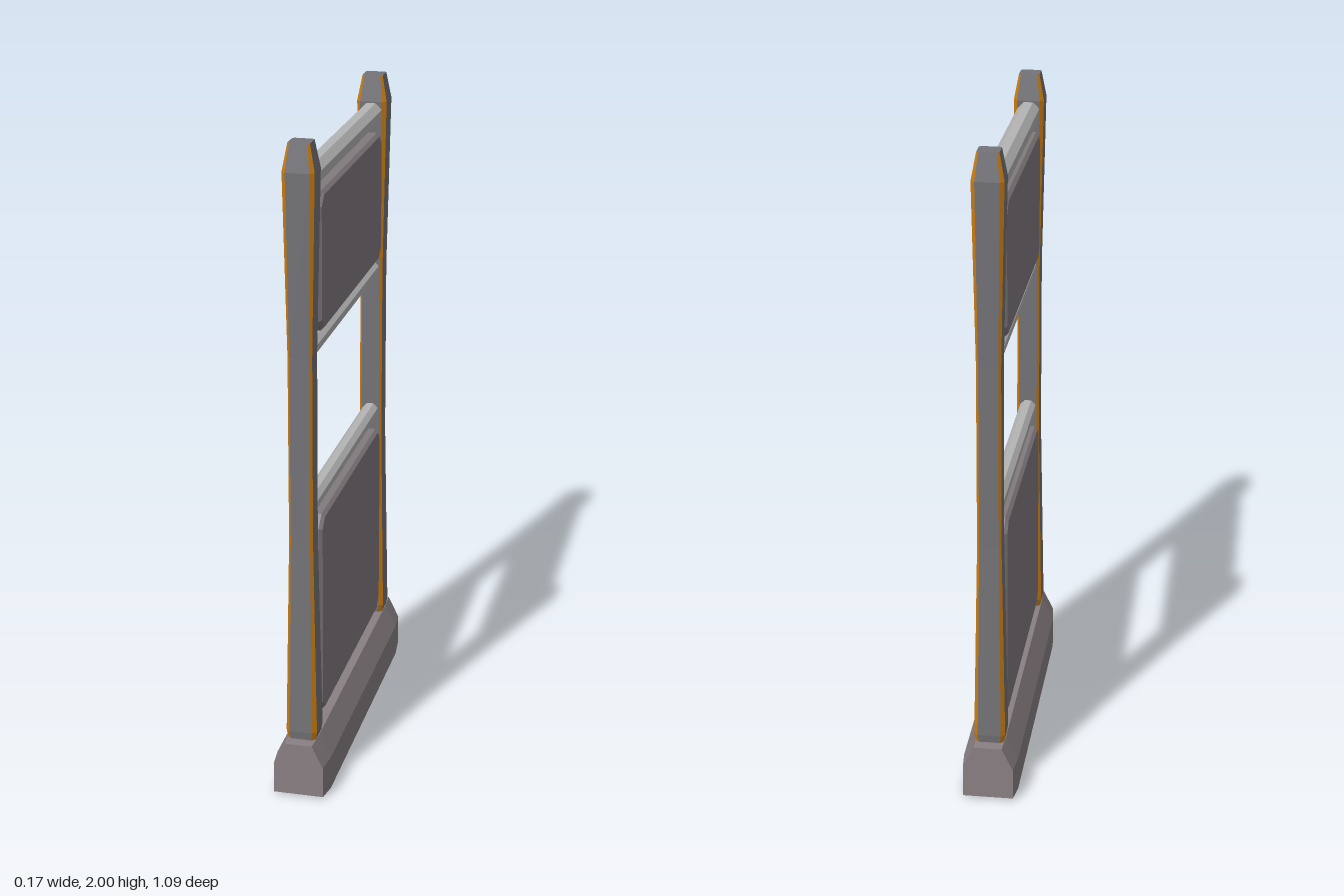
import * as THREE from 'three';

const mat = (color) => new THREE.MeshStandardMaterial({ color, flatShading: true, side: THREE.DoubleSide });
const MAT = {
  base: mat(0x8a8084), post: mat(0x747478), trim: mat(0xcc7c10),
  frame: mat(0x827a7e), panel: mat(0xcccccc), rail: mat(0xb4b4b4),
};

// Skins rings of [x, y, z] points; keep(i) chooses which sides are built.
function loft(rings, caps = true, keep = () => true) {
  const pos = [];
  const tri = (a, b, c) => pos.push(...a, ...b, ...c);
  const n = rings[0].length;
  for (let r = 0; r < rings.length - 1; r++) {
    const a = rings[r], b = rings[r + 1];
    for (let i = 0; i < n; i++) {
      if (!keep(i)) continue;
      const j = (i + 1) % n;
      tri(a[i], a[j], b[j]);
      tri(a[i], b[j], b[i]);
    }
  }
  if (caps) {
    const last = rings[rings.length - 1];
    for (let i = 1; i < n - 1; i++) {
      tri(rings[0][0], rings[0][i + 1], rings[0][i]);
      tri(last[0], last[i], last[i + 1]);
    }
  }
  const g = new THREE.BufferGeometry();
  g.setAttribute('position', new THREE.Float32BufferAttribute(pos, 3));
  g.computeVertexNormals();
  return g;
}

// Rectangle with chamfered corners, counter-clockwise; even sides are the corners.
const octagon = (w, h, c) => [
  [w, h - c], [w - c, h], [c - w, h], [-w, h - c],
  [-w, c - h], [c - w, -h], [w - c, -h], [w, c - h],
];

function add(parent, name, geometry, material) {
  const mesh = new THREE.Mesh(geometry, material);
  mesh.name = name;
  parent.add(mesh);
  return mesh;
}

function makePost(z) {
  const post = new THREE.Group();
  post.name = z > 0 ? 'frontPost' : 'backPost';
  // height, half width, corner chamfer
  const profile = [
    [0.165, 0.042, 0.011], [0.2, 0.047, 0.012], [0.82, 0.036, 0.007],
    [1.38, 0.036, 0.007], [1.92, 0.047, 0.012], [2.0, 0.032, 0.006],
  ];
  const rings = profile.map(([y, h, c]) => octagon(h, h, c).map(([u, v]) => [u, v, y]));
  const sides = loft(rings, true, (i) => i % 2 === 1).rotateX(-Math.PI / 2);
  const corners = loft(rings, false, (i) => i % 2 === 0).rotateX(-Math.PI / 2);
  add(post, 'postBody', sides, MAT.post);
  add(post, 'cornerTrim', corners, MAT.trim);
  post.position.z = z;
  return post;
}

function makePanel(name, y0, y1) {
  const group = new THREE.Group();
  group.name = name;
  const halfH = (y1 - y0) / 2, halfW = 0.4;
  const toShape = (pts, Type) => new Type(pts.map(([x, y]) => new THREE.Vector2(x, y)));

  // Bevelled frame with cut corners
  const shape = toShape(octagon(halfW, halfH, 0.035), THREE.Shape);
  const innerW = halfW - 0.035, innerH = halfH - 0.02;
  shape.holes.push(toShape(octagon(innerW, innerH, 0.008).reverse(), THREE.Path));
  const frame = new THREE.ExtrudeGeometry(shape, {
    depth: 0.06, bevelEnabled: true, bevelThickness: 0.01, bevelSize: 0.01,
    bevelOffset: -0.01, bevelSegments: 1,
  }).translate(0, 0, -0.03).rotateY(Math.PI / 2);
  add(group, 'panelFrame', frame, MAT.frame);

  // Infill with a sloped, slightly sunken face on both sides
  const ring = (inset, x) => octagon(innerW - inset, innerH - inset, 0.008).map(([u, v]) => [u, v, x]);
  const infill = loft([ring(0.018, -0.03), ring(0, -0.036), ring(0, 0.036), ring(0.018, 0.03)]);
  add(group, 'panelInfill', infill.rotateY(Math.PI / 2), MAT.panel);

  // Pins joining the panel to the posts
  for (const s of [-1, 1]) {
    const pin = new THREE.CylinderGeometry(0.01, 0.01, 0.05, 8).rotateX(Math.PI / 2);
    add(group, 'panelPin', pin, MAT.post).position.z = s * 0.415;
  }
  group.position.y = (y0 + y1) / 2;
  return group;
}

export function createModel() {
  const model = new THREE.Group();
  model.name = 'panelStand';

  // Plinth: sloped shoulders, slightly narrowed at each end
  const section = (z, w, y) => [
    [-w, y, z], [w, y, z], [w, 0.105, z], [w * 0.55, 0.175, z], [-w * 0.55, 0.175, z], [-w, 0.105, z],
  ];
  add(model, 'plinth', loft([
    section(-0.543, 0.076, 0.008), section(-0.47, 0.083, 0),
    section(0.47, 0.083, 0), section(0.543, 0.076, 0.008),
  ]), MAT.base);

  for (const s of [-1, 1]) model.add(makePost(s * 0.462));

  // Eight-sided cross rails
  for (const [name, y, h] of [['topRail', 1.882, 0.034], ['middleRail', 1.377, 0.025], ['lowerRail', 0.895, 0.025]]) {
    const ends = [-0.44, 0.44].map((z) => octagon(h, h, h * 0.58).map(([u, v]) => [u, v, z]));
    add(model, name, loft(ends), MAT.rail).position.y = y;
  }

  model.add(makePanel('upperPanel', 1.425, 1.835));
  model.add(makePanel('lowerPanel', 0.21, 0.855));
  return model;
}
